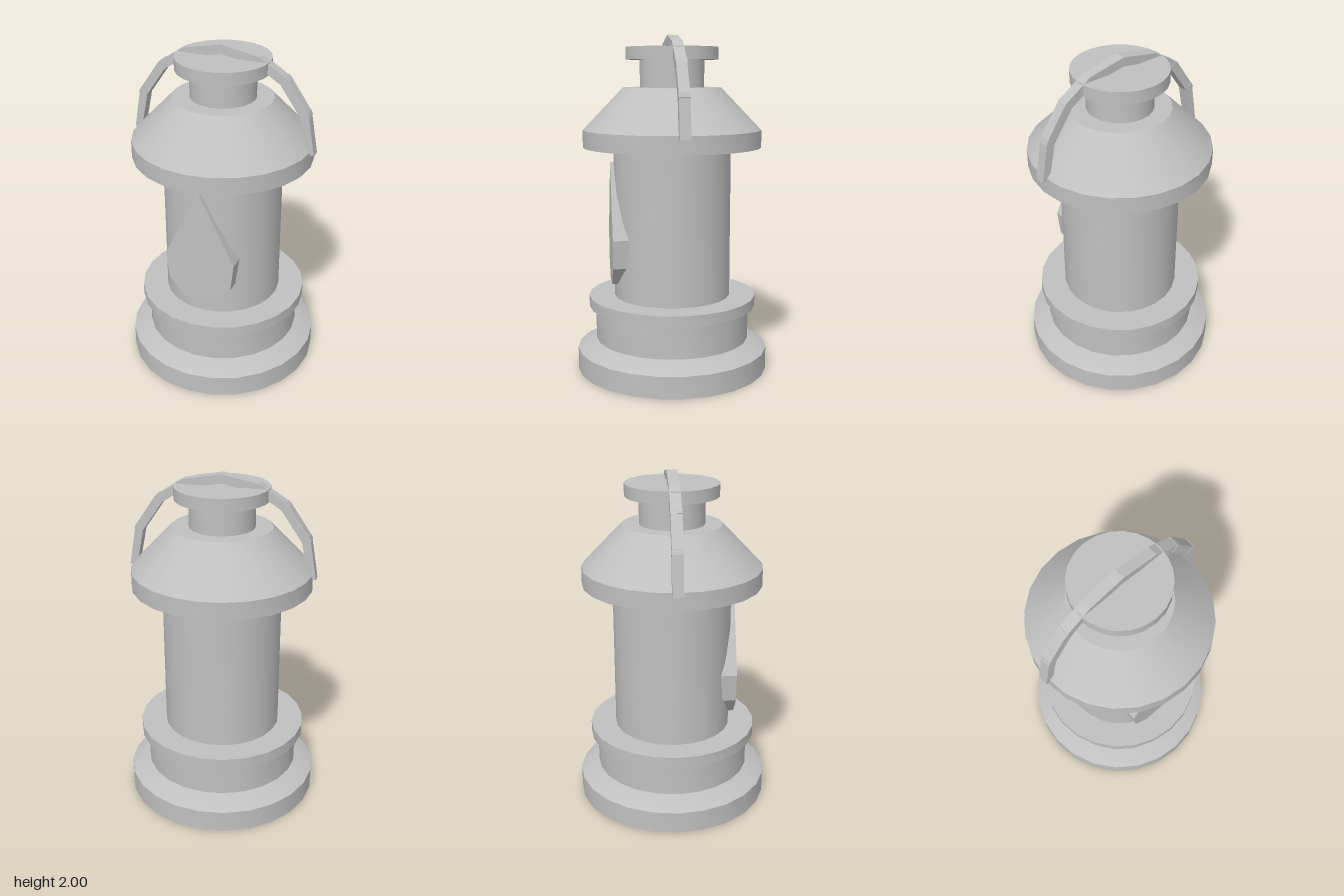
import * as THREE from 'three';
import { toCreasedNormals } from 'three/addons/utils/BufferGeometryUtils.js';

export function createModel() {
  const model = new THREE.Group();
  const grey = new THREE.MeshStandardMaterial({ color: 0xc0c0c0 });
  grey.name = 'grey metal';

  function add(name, geometry) {
    const mesh = new THREE.Mesh(geometry, grey);
    mesh.name = name;
    model.add(mesh);
    return mesh;
  }

  // Turned parts: [radius, height] profiles running from bottom to top
  function turned(name, profile) {
    const points = profile.map(([r, y]) => new THREE.Vector2(r, y));
    add(name, toCreasedNormals(new THREE.LatheGeometry(points, 24), 0.5));
  }

  turned('base', [[0, 0], [0.575, 0], [0.575, 0.13], [0.46, 0.19], [0, 0.19]]);
  turned('baseDrum', [[0.463, 0.185], [0.463, 0.39]]);
  turned('baseFlange', [[0, 0.388], [0.503, 0.388], [0.503, 0.453], [0, 0.453]]);
  turned('body', [[0.35, 0.45], [0.35, 1.35]]);
  turned('roof', [[0, 1.347], [0.528, 1.347], [0.528, 1.45], [0.29, 1.697], [0, 1.697]]);
  turned('neck', [[0.19, 1.69], [0.19, 1.86]]);
  turned('cap', [[0, 1.858], [0.272, 1.858], [0.272, 1.93], [0, 1.93]]);

  const mirrored = (half) => [...half, ...half.filter(([x]) => x > 0).reverse().map(([x, y]) => [-x, y])];
  const toShape = (points) => new THREE.Shape(points.map(([x, y]) => new THREE.Vector2(x, y)));

  // Drop-shaped front window, sunk into the body
  const drop = mirrored([[0, 1.26], [0.212, 0.825], [0.193, 0.655], [0.093, 0.54]]);
  const windowPane = add('frontWindow', new THREE.ExtrudeGeometry(toShape(drop), { depth: 0.15, bevelEnabled: false }));
  windowPane.position.z = 0.22;

  // Faceted carrying handle: outer edge over the top, inner edge back again
  const outer = [[0.55, 1.43], [0.508, 1.67], [0.383, 1.852], [0.22, 1.957], [0, 2]];
  const inner = [[0, 1.947], [0.2, 1.91], [0.342, 1.818], [0.462, 1.645], [0.505, 1.44]];
  const flip = (points) => points.filter(([x]) => x > 0).reverse().map(([x, y]) => [-x, y]);
  const handleOutline = [...outer, ...flip(outer), ...flip(inner), ...inner.slice(0)];
  const handle = add('handle', new THREE.ExtrudeGeometry(toShape(handleOutline), { depth: 0.062, bevelEnabled: false }));
  handle.position.z = -0.033;

  // Small collars at the handle joints
  for (const side of [-1, 1]) {
    for (const [x, y, tilt] of [[0.486, 1.657, 0.4], [0.363, 1.835, 0.78]]) {
      const collar = add('handleJoint', new THREE.BoxGeometry(0.05, 0.03, 0.066));
      collar.position.set(side * x, y, -0.002);
      collar.rotation.z = side * tilt;
    }
  }
  return model;
}
